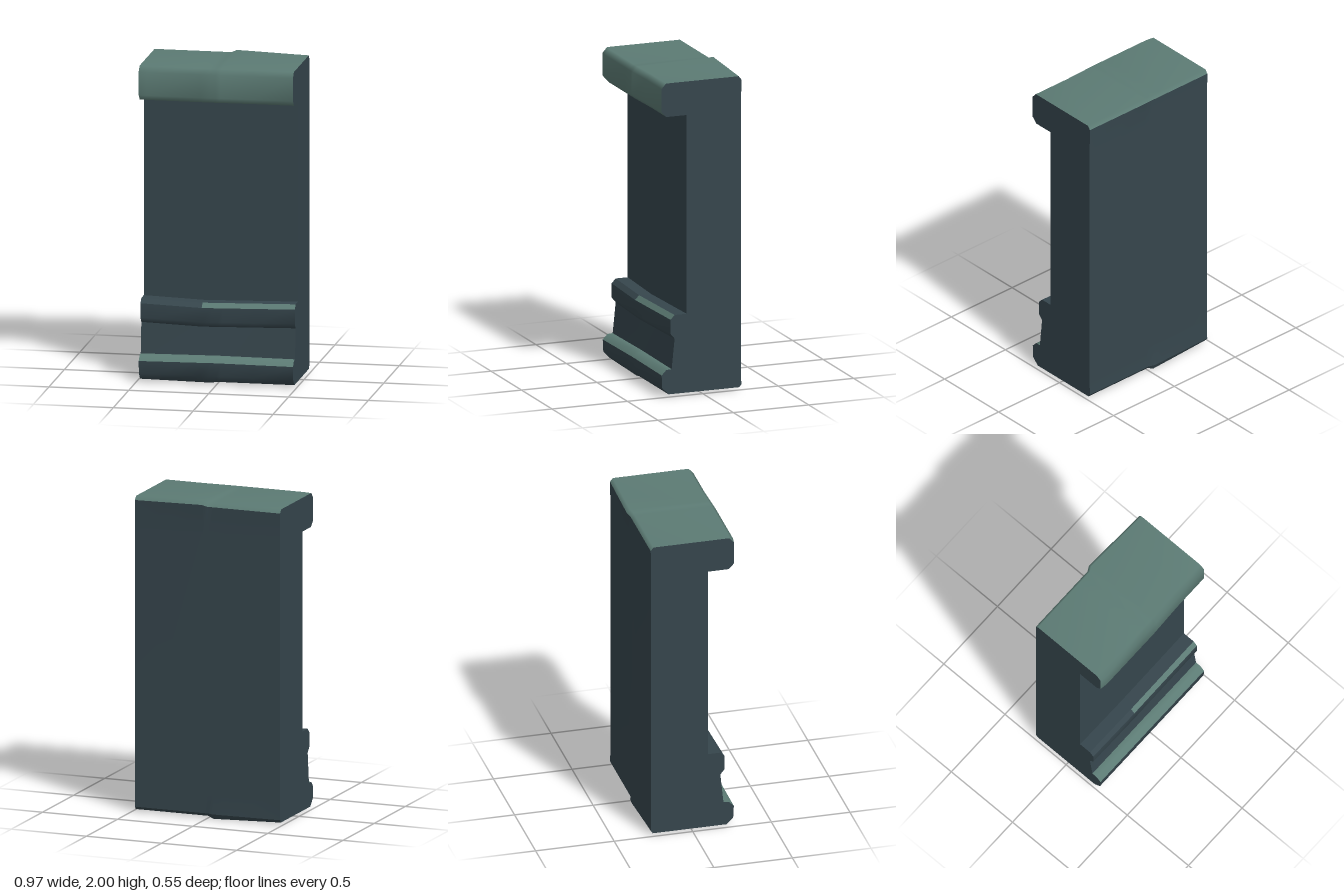
import * as THREE from 'three';

const slate = new THREE.MeshStandardMaterial({ color: 0x36464d });
slate.name = 'dark slate';
const sage = new THREE.MeshStandardMaterial({ color: 0x5c7b74 });
sage.name = 'worn sage';

// Stations across the width, where the carved edges wander slightly
const stations = [-0.483, -0.43, -0.1, -0.04, 0, 0.03, 0.23, 0.483];

// Straight-line interpolation through [x, value] pairs
function ramp(x, pairs) {
  for (let i = 1; i < pairs.length; i++) {
    const [x0, v0] = pairs[i - 1], [x1, v1] = pairs[i];
    if (x <= x1) return v0 + (v1 - v0) * (x - x0) / (x1 - x0);
  }
  return pairs[pairs.length - 1][1];
}

// Outline [z, y] at x, from bottom back, round the front, over the top and down the back
function section(x) {
  const sag = ramp(x, [[-0.483, 0], [-0.1, -0.014], [0.483, 0]]);
  const lip = ramp(x, [[-0.483, -0.008], [-0.43, 0], [0, 0], [0.23, -0.008], [0.483, -0.008]]);
  const topLift = ramp(x, [[-0.483, 0], [0, 0], [0.03, 0.012], [0.483, 0]]);
  const topFlare = ramp(x, [[-0.483, 0], [0, 0], [0.03, 0.015], [0.483, 0]]);
  const footDrop = ramp(x, [[-0.483, 0], [-0.04, 0.013], [0, 0], [0.483, 0]]);
  const rise = ramp(x, [[-0.483, -0.006], [0, 0], [0.483, -0.003]]);
  return [
    [-0.25 - footDrop, 0.013 - footDrop],   // 0 underside
    [0.22, 0.013 - footDrop * 0.5],
    [0.262, 0.055],                         // 2 base moulding
    [0.266, 0.14 + rise],
    [0.235, 0.172 + rise],
    [0.2, 0.174 + rise],                    // 5 recess
    [0.18, 0.362 + sag],
    [0.207, 0.395 + sag],                   // 7 upper moulding
    [0.207, 0.485 + sag],
    [0.18, 0.513 + sag],
    [0.1, 0.513 + sag],                     // 10 panel
    [0.1, 1.775],
    [0.242 + lip, 1.775],                   // 12 cap
    [0.275 + lip, 1.81],
    [0.275 + lip, 1.955],
    [0.245 + lip, 1.988],
    [-0.245 - topFlare, 1.988 + topLift],   // 16 back edge
    [-0.263 - topFlare, 1.965 + topLift],
    [-0.26, 1.79],
    [-0.26, 0.17],
    [-0.262 - footDrop, 0.03],
  ];
}

// Skin a run of outline points over a range of x; each run is smooth in itself
function strip(group, name, ids, material, xMin = -1, xMax = 1) {
  const xs = stations.filter((x) => x >= xMin && x <= xMax);
  const positions = [], index = [], n = ids.length;
  xs.forEach((x, i) => {
    const outline = section(x);
    ids.forEach((id, j) => {
      positions.push(x, outline[id][1], outline[id][0]);
      if (i && j) {
        const a = (i - 1) * n + j - 1, b = i * n + j - 1;
        index.push(a, b, b + 1, a, b + 1, a + 1);
      }
    });
  });
  const geometry = new THREE.BufferGeometry();
  geometry.setAttribute('position', new THREE.Float32BufferAttribute(positions, 3));
  geometry.setIndex(index);
  geometry.computeVertexNormals();
  const mesh = new THREE.Mesh(geometry, material);
  mesh.name = name;
  group.add(mesh);
}

// Flat side wall at one end
function sideWall(group, name, side) {
  const x = side * 0.483;
  const shape = new THREE.Shape(section(x).map(([z, y]) => new THREE.Vector2(-side * z, y)));
  const mesh = new THREE.Mesh(new THREE.ShapeGeometry(shape), slate);
  mesh.rotation.y = side * Math.PI / 2;
  mesh.position.x = x;
  mesh.name = name;
  group.add(mesh);
}

export function createModel() {
  const group = new THREE.Group();
  group.name = 'wallPillar';

  // Base
  strip(group, 'underside', [0, 1], slate);
  strip(group, 'baseMoulding', [1, 2, 3], slate);
  strip(group, 'baseMouldingWornEdge', [3, 4, 5], sage);
  strip(group, 'recess', [5, 6], slate);

  // Upper moulding, worn along part of its edge
  strip(group, 'upperMoulding', [6, 7, 8], slate);
  strip(group, 'upperMouldingEdge', [8, 9], slate, -1, -0.1);
  strip(group, 'upperMouldingWornEdge', [8, 9], sage, -0.1, 1);
  strip(group, 'upperMouldingLedge', [9, 10], slate);

  // Panel and overhanging cap
  strip(group, 'frontPanel', [10, 11], slate);
  strip(group, 'capUnderside', [11, 12], slate);
  strip(group, 'cap', [12, 13, 14, 15, 16, 17], sage);

  // Back and sides
  strip(group, 'back', [17, 18, 19, 20], slate);
  strip(group, 'backFootEdge', [20, 0], slate);
  sideWall(group, 'leftSide', 1);
  sideWall(group, 'rightSide', -1);
  return group;
}
